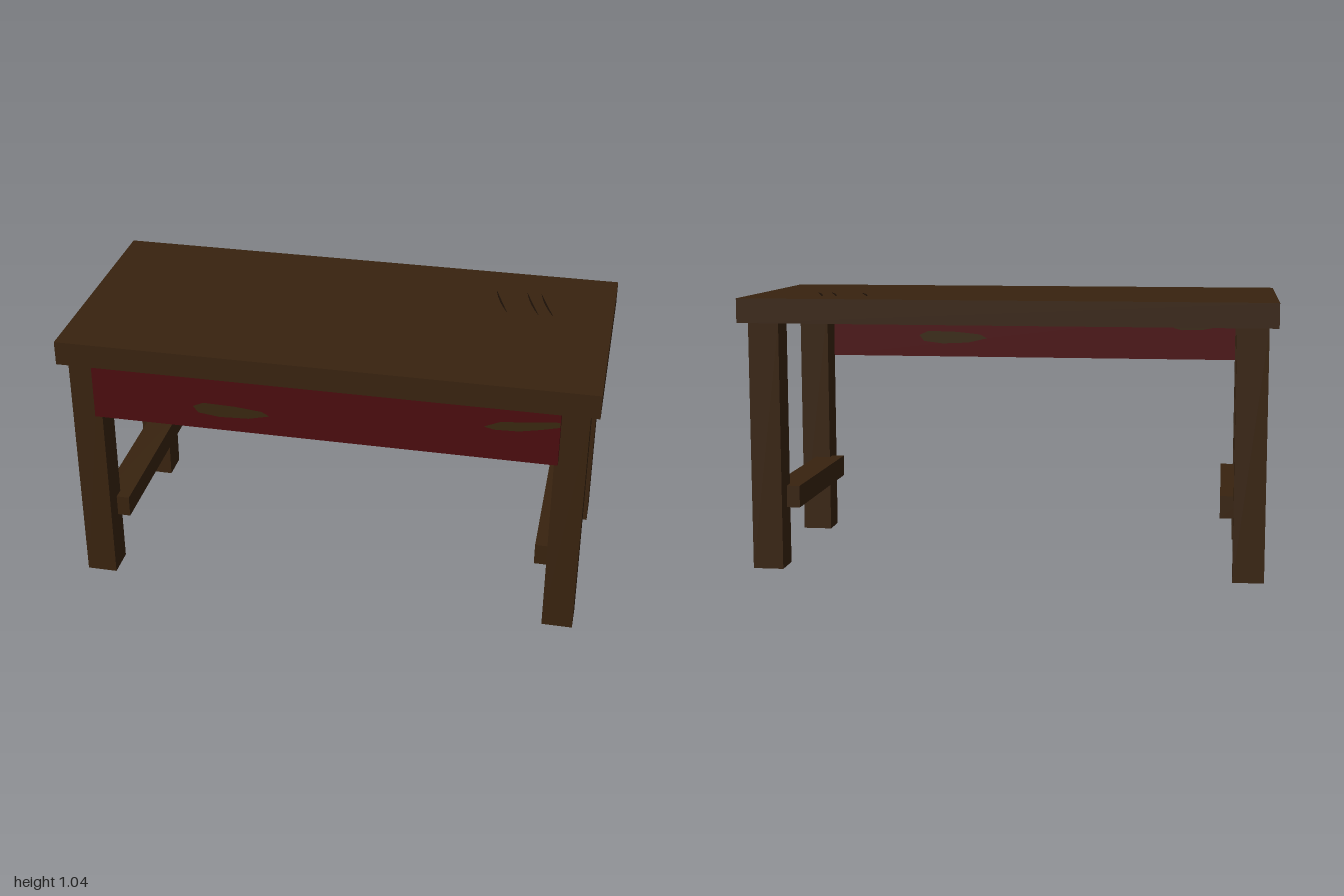
import * as THREE from 'three';

const material = (name, color, side = THREE.FrontSide) => {
  const m = new THREE.MeshStandardMaterial({ color, side });
  m.name = name;
  return m;
};

export function createModel() {
  const wood = material('dark wood', 0x38230f);
  const red = material('dark red paint', 0x4a0c0e);
  const worn = material('worn paint', 0x38270f);
  const groove = material('scratch', 0x1c1007);

  const table = new THREE.Group();
  table.name = 'table';

  const add = (name, geometry, mat, parent = table) => {
    const mesh = new THREE.Mesh(geometry, mat);
    mesh.name = name;
    parent.add(mesh);
    return mesh;
  };

  // Box given by its limits on each axis
  const box = (name, mat, [x0, x1], [y0, y1], [z0, z1]) =>
    add(name, new THREE.BoxGeometry(x1 - x0, y1 - y0, z1 - z0), mat)
      .position.set((x0 + x1) / 2, (y0 + y1) / 2, (z0 + z1) / 2);

  box('tableTop', wood, [-1, 1], [0.942, 1.034], [-0.466, 0.466]);

  // Legs and the side stretchers set into their inner faces
  for (const [side, s] of [['left', 1], ['right', -1]]) {
    const span = (a, b) => (s > 0 ? [a, b] : [-b, -a]);
    box(side + 'FrontLeg', wood, span(0.85, 0.966), [0, 0.942], [0.315, 0.432]);
    box(side + 'BackLeg', wood, span(0.85, 0.966), [0, 0.942], [-0.432, -0.315]);
    box(side + 'Stretcher', wood, span(0.8, 0.91), [0.226, 0.31], [-0.36, 0.36]);
  }

  // Painted front board
  box('frontBoard', red, [-0.865, 0.865], [0.735, 0.942], [0.43, 0.466]);

  // Worn patches, repeated on both faces of the board
  const patches = [
    [[-0.48, 0.825], [-0.46, 0.8], [-0.38, 0.79], [-0.27, 0.795], [-0.19, 0.814],
      [-0.22, 0.83], [-0.32, 0.84], [-0.44, 0.843]],
    [[0.595, 0.866], [0.63, 0.857], [0.72, 0.86], [0.8, 0.876], [0.864, 0.892],
      [0.864, 0.913], [0.78, 0.905], [0.65, 0.89]],
  ];
  for (const [face, angle] of [['front', 0], ['back', Math.PI]]) {
    const group = new THREE.Group();
    group.name = face + 'WornPatches';
    group.position.z = 0.448;
    group.rotation.y = angle;
    for (const points of patches) {
      const shape = new THREE.Shape(points.map(([x, y]) => new THREE.Vector2(x, y)));
      add('wornPatch', new THREE.ShapeGeometry(shape), worn, group).position.z = 0.0192;
    }
    table.add(group);
  }

  // Curved tapering scratches on the top
  for (const x of [0.54, 0.66, 0.715]) {
    const shape = new THREE.Shape();
    shape.moveTo(x, 0.295);
    shape.quadraticCurveTo(x + 0.017, 0.2, x + 0.06, 0.115);
    shape.quadraticCurveTo(x + 0.031, 0.2, x, 0.295);
    const scratch = add('scratch', new THREE.ExtrudeGeometry(shape, { depth: 0.002, bevelEnabled: false }), groove);
    scratch.rotation.x = -Math.PI / 2;
    scratch.position.y = 1.034;
  }

  return table;
}
